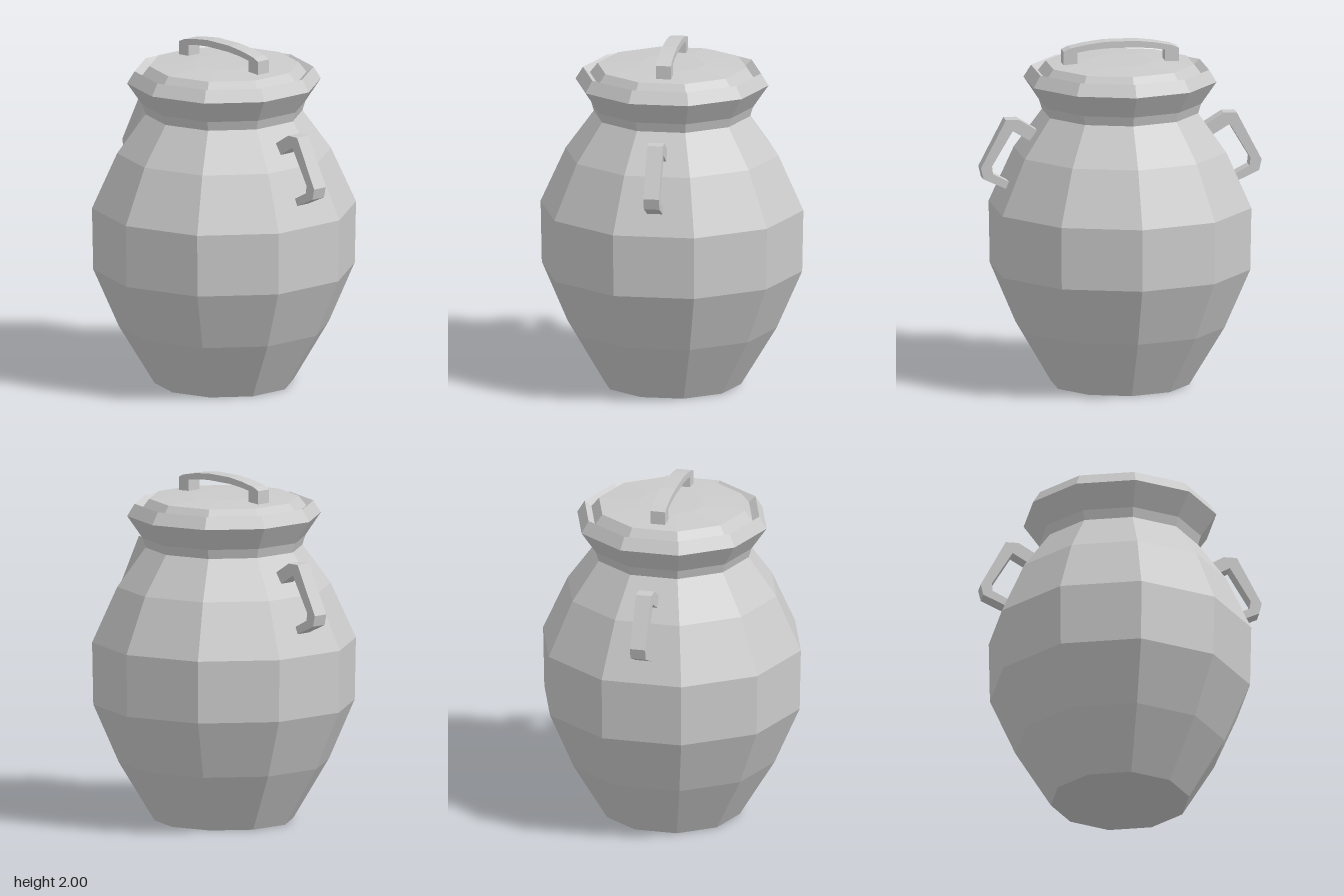
import * as THREE from 'three';

const material = new THREE.MeshStandardMaterial({ color: 0xcccccc, flatShading: true });
const SIDES = 10;
const vectors = (points) => points.map(([x, y]) => new THREE.Vector2(x, y));

// Ten-sided turned part from a [radius, height] profile
function turned(name, profile) {
  const mesh = new THREE.Mesh(new THREE.LatheGeometry(vectors(profile), SIDES), material);
  mesh.name = name;
  return mesh;
}

// Flat bar cut from an outline in the xy plane, centred on z = 0
function bar(name, outline, depth) {
  const geometry = new THREE.ExtrudeGeometry(new THREE.Shape(vectors(outline)), { depth, bevelEnabled: false });
  geometry.translate(0, 0, -depth / 2);
  const mesh = new THREE.Mesh(geometry, material);
  mesh.name = name;
  return mesh;
}

export function createModel() {
  const model = new THREE.Group();
  model.name = 'liddedJar';

  // Closed base, belly, neck and flared mouth
  model.add(turned('body', [
    [0, 0], [0.4, 0], [0.605, 0.34], [0.753, 0.68], [0.76, 1.04],
    [0.615, 1.36], [0.452, 1.585], [0.469, 1.64], [0.558, 1.77],
  ]));

  // Rim sloping in to a groove, then the slightly domed lid
  model.add(turned('rim', [[0.558, 1.77], [0.515, 1.84], [0.475, 1.81]]));
  model.add(turned('lid', [[0.475, 1.81], [0.43, 1.868], [0.19, 1.882], [0, 1.882]]));

  // Arched lid handle: half outlines mirrored across x = 0
  const outer = [[0.335, 1.86], [0.335, 1.95], [0.295, 1.968], [0.2, 1.987], [0.09, 2]];
  const inner = [[0.09, 1.962], [0.19, 1.953], [0.255, 1.942], [0.255, 1.86]];
  const mirror = (points) => points.map(([x, y]) => [-x, y]).reverse();
  model.add(bar('lidHandle', [...outer, ...mirror(outer), ...mirror(inner), ...inner], 0.086));

  // Angular side handles, ends sunk into the body
  const loop = [
    [0.43, 1.46], [0.595, 1.563], [0.67, 1.563], [0.815, 1.285], [0.8, 1.222], [0.67, 1.162], [0.6, 1.13],
    [0.57, 1.16], [0.64, 1.196], [0.745, 1.25], [0.75, 1.296], [0.63, 1.497], [0.535, 1.44], [0.47, 1.4],
  ];
  loop[0] = [0.43, 1.462];
  const left = bar('leftHandle', loop, 0.09);
  const right = bar('rightHandle', loop, 0.09);
  right.rotation.y = Math.PI;
  model.add(left, right);

  return model;
}
